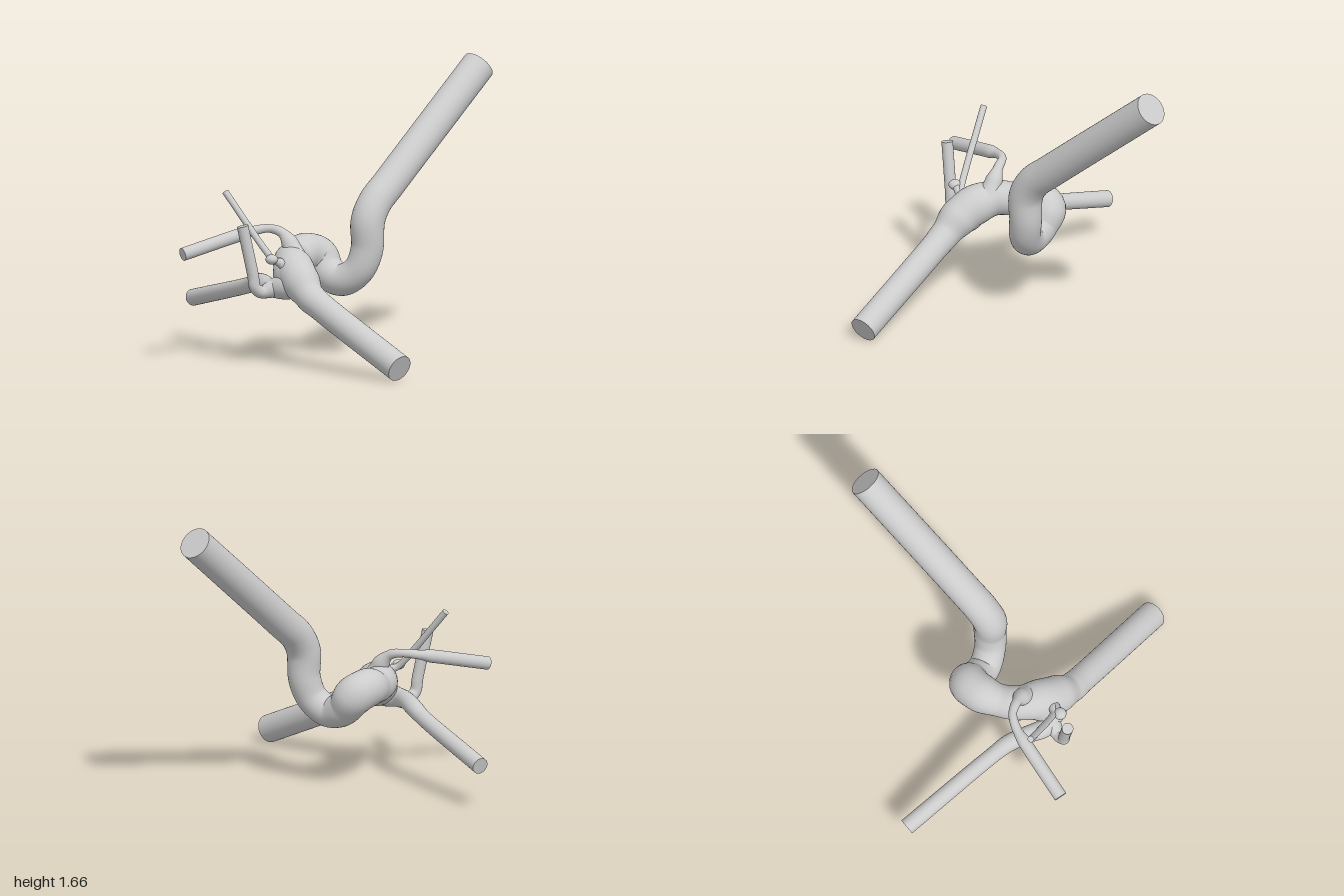
import * as THREE from 'three';

const material = new THREE.MeshStandardMaterial({ color: 0xcccccc, roughness: 0.7 });

// Closed tube of varying radius; each point is [x, y, z, radius]
function vessel(name, points, steps = 90, sides = 28) {
  const curve = new THREE.CatmullRomCurve3(
    points.map(([x, y, z]) => new THREE.Vector3(x, y, z)), false, 'centripetal');
  const frames = curve.computeFrenetFrames(steps, false);
  const positions = [], index = [];
  const rings = [];
  for (let i = 0; i <= steps; i++) {
    const u = i / steps;
    const centre = curve.getPointAt(u);
    const t = curve.getUtoTmapping(u) * (points.length - 1);
    const k = Math.min(Math.floor(t), points.length - 2);
    const radius = THREE.MathUtils.lerp(points[k][3], points[k + 1][3],
      THREE.MathUtils.smoothstep(t - k, 0, 1));
    const ring = [];
    for (let j = 0; j < sides; j++) {
      const a = (j / sides) * Math.PI * 2;
      const p = centre.clone()
        .addScaledVector(frames.normals[i], Math.cos(a) * radius)
        .addScaledVector(frames.binormals[i], Math.sin(a) * radius);
      ring.push(p);
      positions.push(p.x, p.y, p.z);
    }
    rings.push({ centre, ring });
  }
  for (let i = 0; i < steps; i++) {
    for (let j = 0; j < sides; j++) {
      const a = i * sides + j, b = i * sides + (j + 1) % sides;
      index.push(a, b, a + sides, b, b + sides, a + sides);
    }
  }
  // Flat end caps with their own vertices, so the rims stay sharp
  [[rings[0], true], [rings[steps], false]].forEach(([{ centre, ring }, isStart]) => {
    const base = positions.length / 3;
    [centre, ...ring].forEach((p) => positions.push(p.x, p.y, p.z));
    for (let j = 0; j < sides; j++) {
      const a = base + 1 + j, b = base + 1 + (j + 1) % sides;
      if (isStart) index.push(base, b, a);
      else index.push(base, a, b);
    }
  });
  const geometry = new THREE.BufferGeometry();
  geometry.setAttribute('position', new THREE.Float32BufferAttribute(positions, 3));
  geometry.setIndex(index);
  geometry.computeVertexNormals();
  const mesh = new THREE.Mesh(geometry, material);
  mesh.name = name;
  return mesh;
}

// Smooth rounded swelling
function swelling(name, position, scale, rotationZ = 0) {
  const mesh = new THREE.Mesh(new THREE.SphereGeometry(1, 28, 18), material);
  mesh.name = name;
  mesh.position.set(...position);
  mesh.scale.set(...scale);
  mesh.rotation.z = rotationZ;
  return mesh;
}

export function createModel() {
  const model = new THREE.Group();
  model.name = 'branchingVessel';

  model.add(
    // Inlet, S-shaped siphon and the thick left outlet in one run
    vessel('mainTrunk', [
      [-0.03, 1.585, -0.92, 0.096], [0.07, 0.98, -0.2, 0.096],
      [0.085, 0.88, -0.085, 0.097], [0.093, 0.78, -0.03, 0.098],
      [0.092, 0.62, -0.025, 0.093], [0.06, 0.5, 0.01, 0.09],
      [-0.03, 0.435, 0.06, 0.092], [-0.13, 0.47, 0.085, 0.1],
      [-0.2, 0.555, 0.105, 0.115], [-0.2, 0.585, 0.2, 0.112],
      [-0.15, 0.565, 0.3, 0.095], [-0.08, 0.565, 0.39, 0.1],
      [0.03, 0.535, 0.45, 0.115], [0.13, 0.48, 0.48, 0.11],
      [0.23, 0.405, 0.488, 0.086], [0.34, 0.35, 0.478, 0.08],
      [0.965, 0.073, 0.41, 0.08],
    ], 220, 36),

    // Long slim branch to the right side
    vessel('rightBranch', [
      [0.14, 0.47, 0.48, 0.08], [0.06, 0.45, 0.525, 0.075],
      [-0.04, 0.435, 0.565, 0.055], [-0.15, 0.445, 0.53, 0.05],
      [-0.26, 0.435, 0.49, 0.05], [-0.38, 0.4, 0.468, 0.046],
      [-0.985, 0.252, 0.4, 0.048],
    ]),

    // Branch that turns sharply upward at the front
    vessel('uprightBranch', [
      [0.06, 0.46, 0.5, 0.06], [0.0, 0.435, 0.58, 0.05],
      [-0.02, 0.42, 0.65, 0.036], [-0.023, 0.45, 0.692, 0.033],
      [-0.027, 0.52, 0.703, 0.033], [-0.053, 0.805, 0.758, 0.033],
    ]),

    // Arched branch leading forward from the top of the siphon
    vessel('archedBranch', [
      [-0.03, 0.58, 0.4, 0.075], [-0.07, 0.665, 0.4, 0.05],
      [-0.13, 0.73, 0.42, 0.028], [-0.2, 0.748, 0.46, 0.024],
      [-0.245, 0.735, 0.54, 0.027], [-0.265, 0.715, 0.63, 0.038],
      [-0.325, 0.63, 0.98, 0.038],
    ]),

    // Thin slanted twig
    vessel('thinTwig', [
      [0.06, 0.54, 0.5, 0.04], [0.035, 0.585, 0.55, 0.026],
      [0.0, 0.61, 0.585, 0.019], [-0.04, 0.655, 0.605, 0.019],
      [-0.29, 0.97, 0.7, 0.019],
    ], 60, 18),

    // Small nodule beside the twig, with its neck
    vessel('noduleStalk', [
      [0.06, 0.54, 0.51, 0.04], [0.045, 0.59, 0.57, 0.023], [0.03, 0.61, 0.61, 0.02],
    ], 20, 16),
    swelling('nodule', [0.03, 0.61, 0.612], [0.036, 0.029, 0.036]),

    // Fullness where the branches meet
    swelling('junction', [0.06, 0.5, 0.475], [0.15, 0.115, 0.105], -0.45),
  );
  return model;
}
